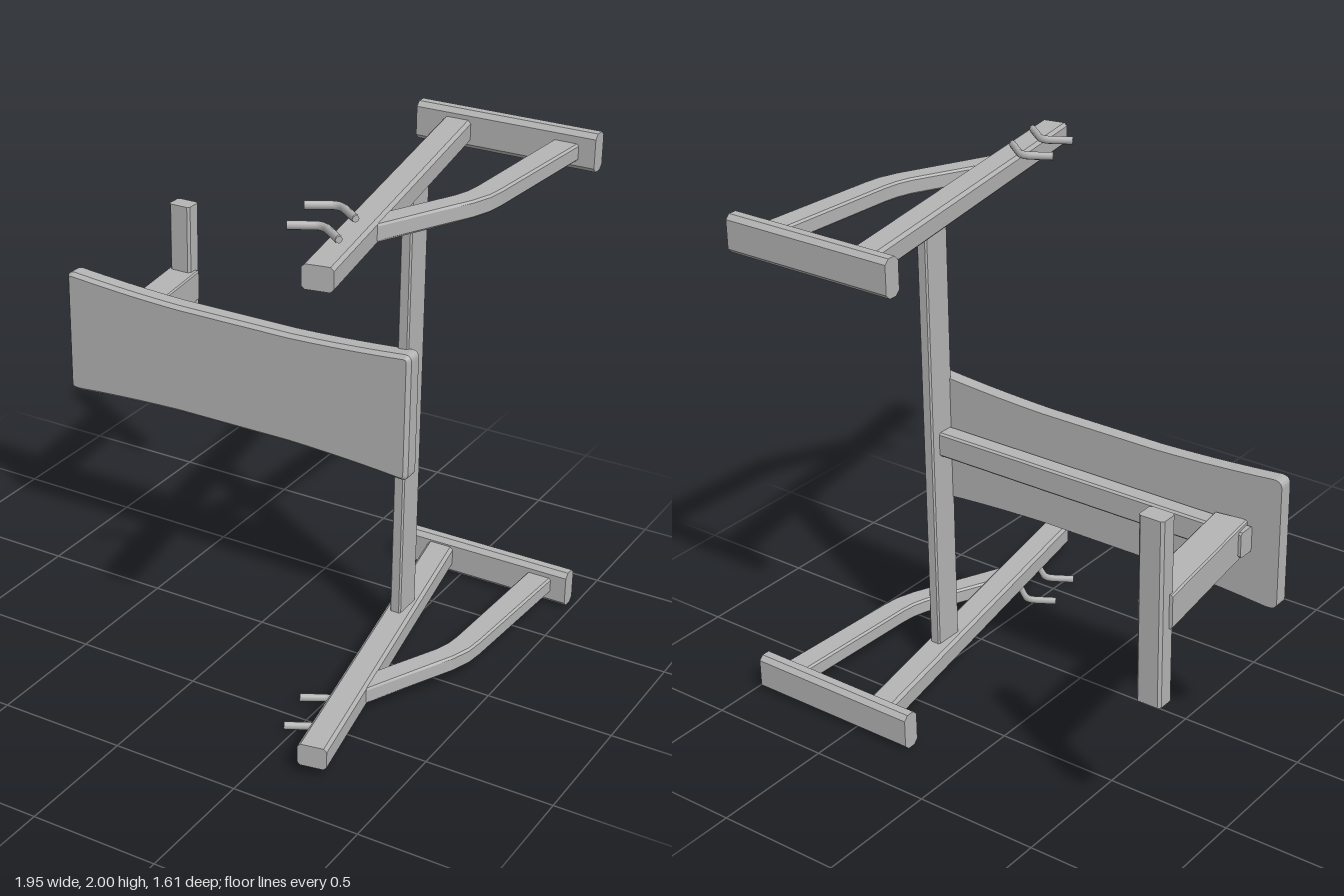
import * as THREE from 'three';

const steel = new THREE.MeshStandardMaterial({ color: 0xb4b4b4 });
steel.name = 'lightGrey';

const add = (parent, name, geometry) => {
  const mesh = new THREE.Mesh(geometry, steel);
  mesh.name = name;
  parent.add(mesh);
  return mesh;
};

// Chamfered bar from a to b; w is its sideways width, h its other width
function bar(parent, name, a, b, w, h, c = 0.012) {
  const A = new THREE.Vector3(...a), B = new THREE.Vector3(...b);
  const x = w / 2, y = h / 2, length = A.distanceTo(B);
  const section = new THREE.Shape([
    [x, c - y], [x, y - c], [x - c, y], [c - x, y],
    [-x, y - c], [-x, c - y], [c - x, -y], [x - c, -y],
  ].map(p => new THREE.Vector2(...p)));
  const geometry = new THREE.ExtrudeGeometry(section, { depth: length, bevelEnabled: false });
  const mesh = add(parent, name, geometry);
  mesh.position.copy(A);
  mesh.lookAt(B);
  return mesh;
}

// One side frame: upright, floor foot, bent brace and two bar hooks
function sideFrame(name, level) {
  const frame = new THREE.Group();
  frame.name = name;
  const y = level(0.083);
  bar(frame, 'upright', [0.41, y, -0.74], [0.696, y, 0.793], 0.112, 0.088);
  bar(frame, 'uprightFoot', [0.24, level(0.078), -0.764], [0.975, level(0.078), -0.764], 0.07, 0.148, 0.018);

  // Bent brace, drawn in plan as (x, z)
  const plan = new THREE.Shape([
    [0.805, -0.74], [0.91, -0.74], [0.88, -0.16], [0.872, -0.09], [0.846, -0.01],
    [0.665, 0.37], [0.62, 0.26], [0.758, -0.03], [0.776, -0.09], [0.783, -0.15],
  ].map(p => new THREE.Vector2(...p)));
  const brace = new THREE.ExtrudeGeometry(plan, {
    depth: 0.05, bevelEnabled: true, bevelThickness: 0.008, bevelSize: 0.008, bevelOffset: -0.008, bevelSegments: 1,
  });
  brace.translate(0, 0, -0.025).rotateX(Math.PI / 2);
  add(frame, 'brace', brace).position.y = level(0.083);

  // Bent rods on the outer face of the upright
  [[0, 0], [0.045, 0.19]].forEach(([dx, dz], i) => {
    const at = (x, z) => new THREE.Vector3(x + dx, level(0.017), z + dz);
    const path = new THREE.CurvePath();
    path.add(new THREE.LineCurve3(at(0.415, 0.403), at(0.495, 0.357)));
    path.add(new THREE.QuadraticBezierCurve3(at(0.495, 0.357), at(0.523, 0.342), at(0.548, 0.362)));
    path.add(new THREE.LineCurve3(at(0.548, 0.362), at(0.626, 0.424)));
    const hook = add(frame, 'barHook' + (i + 1), new THREE.TubeGeometry(path, 16, 0.013, 8));
    hook.scale.y = 1.25;
    hook.position.y = -0.25 * level(0.017);
    // Closed rod ends
    [[0, -1], [1, 1]].forEach(([t, s]) => {
      const cap = add(frame, 'hookEnd', new THREE.CircleGeometry(0.013, 8));
      cap.position.copy(path.getPoint(t));
      cap.lookAt(cap.position.clone().addScaledVector(path.getTangent(t), s));
    });
  });
  return frame;
}

// Waisted cushion with a bevelled front rim and a flat back
function cushion() {
  const s = new THREE.Shape();
  s.moveTo(-0.93, -0.255);
  s.quadraticCurveTo(-0.7, -0.235, -0.45, -0.228);
  s.lineTo(0.05, -0.228);
  s.quadraticCurveTo(0.3, -0.235, 0.545, -0.258);
  s.quadraticCurveTo(0.57, -0.258, 0.57, -0.23);
  s.lineTo(0.57, 0.23);
  s.quadraticCurveTo(0.57, 0.258, 0.545, 0.258);
  s.quadraticCurveTo(0.3, 0.235, 0.05, 0.228);
  s.lineTo(-0.45, 0.228);
  s.quadraticCurveTo(-0.7, 0.235, -0.945, 0.258);
  s.quadraticCurveTo(-0.978, 0.258, -0.978, 0.23);
  s.lineTo(-0.978, -0.23);
  s.quadraticCurveTo(-0.978, -0.258, -0.93, -0.255);
  const g = new THREE.ExtrudeGeometry(s, {
    depth: 0.056, bevelEnabled: true, bevelThickness: 0.016, bevelSize: 0.014, bevelOffset: -0.014,
    bevelSegments: 1, curveSegments: 5,
  });
  const p = g.attributes.position;
  for (let i = 0; i < p.count; i++) p.setZ(i, Math.max(0, p.getZ(i)));
  g.computeVertexNormals();
  return g.translate(0, 0.998, -0.173);
}

export function createModel() {
  const model = new THREE.Group();
  model.name = 'weightBench';

  model.add(sideFrame('lowerSideFrame', v => v));
  model.add(sideFrame('upperSideFrame', v => 2 - v));
  bar(model, 'crossbar', [0.508, 0.1, -0.224], [0.508, 1.9, -0.224], 0.046, 0.125, 0.006);

  // Bench: cushion, spine beneath it, rear leg and its foot
  add(model, 'cushion', cushion());
  bar(model, 'spine', [-0.865, 0.998, -0.208], [0.5, 0.998, -0.208], 0.074, 0.1, 0.008);
  bar(model, 'benchLeg', [-0.78, 0.998, -0.178], [-0.853, 0.998, -0.765], 0.13, 0.132, 0.006);
  bar(model, 'benchFoot', [-0.855, 0.636, -0.767], [-0.855, 1.356, -0.767], 0.1, 0.075, 0.01);

  return model;
}
